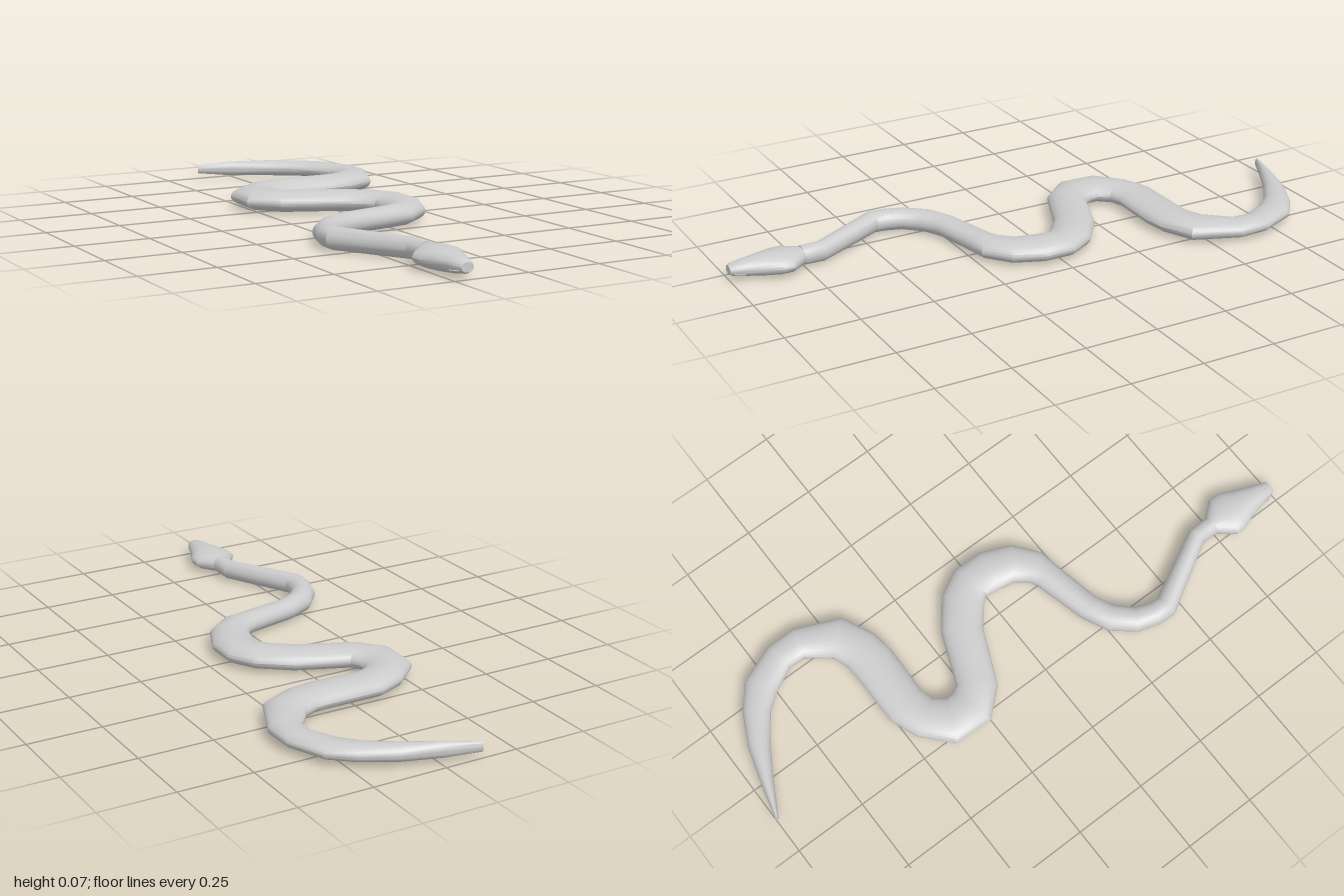
import * as THREE from 'three';
import { toCreasedNormals } from 'three/addons/utils/BufferGeometryUtils.js';

const MID = 0.038;
const SIDES = 24;

// Lofts elliptical sections [x, z, halfWidth, halfHeight] along a flat path.
function loft(rings) {
  const pos = [], index = [], n = rings.length;
  rings.forEach(([x, z, w, h], i) => {
    const dir = (a, b) => new THREE.Vector2(b[0] - a[0], b[1] - a[1]).normalize();
    const t = new THREE.Vector2();
    if (i > 0) t.add(dir(rings[i - 1], rings[i]));
    if (i < n - 1) t.add(dir(rings[i], rings[i + 1]));
    t.normalize();
    for (let j = 0; j < SIDES; j++) {
      const a = (j / SIDES) * Math.PI * 2, c = Math.cos(a) * w;
      pos.push(x + t.y * c, MID + Math.sin(a) * h, z - t.x * c);
    }
  });
  for (let i = 0; i < n - 1; i++) {
    for (let j = 0; j < SIDES; j++) {
      const k = (j + 1) % SIDES, a = i * SIDES + j, b = i * SIDES + k;
      index.push(a, b, a + SIDES, b, b + SIDES, a + SIDES);
    }
  }
  // end caps
  const first = pos.length / 3, last = (n - 1) * SIDES;
  pos.push(rings[0][0], MID, rings[0][1], rings[n - 1][0], MID, rings[n - 1][1]);
  for (let j = 0; j < SIDES; j++) {
    const k = (j + 1) % SIDES;
    index.push(first, k, j, first + 1, last + j, last + k);
  }
  const g = new THREE.BufferGeometry();
  g.setAttribute('position', new THREE.Float32BufferAttribute(pos, 3));
  g.setIndex(index);
  return toCreasedNormals(g, 0.5);
}

export function createModel() {
  const group = new THREE.Group();
  const mat = new THREE.MeshStandardMaterial({ color: 0xcccccc });
  const add = (name, geometry) => {
    const m = new THREE.Mesh(geometry, mat);
    m.name = name;
    group.add(m);
  };

  // tail: flatter, tapering to the tip
  const tail = [
    [-0.13, -0.997, 0.006, 0.016], [-0.02, -0.955, 0.02, 0.026], [0.1, -0.905, 0.036, 0.028],
    [0.2, -0.845, 0.046, 0.028], [0.262, -0.785, 0.056, 0.028], [0.31, -0.68, 0.052, 0.028],
    [0.31, -0.6, 0.055, 0.029],
  ];
  // body: three bends, thinning towards the neck
  const body = [
    [0.245, -0.485, 0.072, 0.036], [0.165, -0.45, 0.072, 0.036], [0.1, -0.443, 0.074, 0.036],
    [-0.08, -0.445, 0.072, 0.036], [-0.15, -0.42, 0.069, 0.036], [-0.21, -0.36, 0.079, 0.036],
    [-0.212, -0.28, 0.079, 0.036], [-0.165, -0.22, 0.068, 0.036], [0.013, -0.145, 0.07, 0.036],
    [0.1, -0.077, 0.072, 0.036], [0.134, -0.02, 0.071, 0.036], [0.13, 0.055, 0.074, 0.036],
    [0.103, 0.135, 0.066, 0.036], [0.045, 0.188, 0.057, 0.036], [0, 0.2, 0.048, 0.036],
    [-0.175, 0.24, 0.043, 0.036], [-0.25, 0.278, 0.045, 0.036], [-0.305, 0.34, 0.042, 0.036],
    [-0.325, 0.4, 0.04, 0.036], [-0.328, 0.445, 0.039, 0.036], [-0.197, 0.685, 0.032, 0.034],
    [-0.197, 0.755, 0.032, 0.032],
  ];
  add('body', loft([...tail, ...body]));

  // wedge-shaped head with a blunt snout
  add('head', loft([
    [-0.197, 0.745, 0.028, 0.026], [-0.197, 0.765, 0.045, 0.03], [-0.197, 0.805, 0.077, 0.034],
    [-0.197, 0.84, 0.077, 0.035], [-0.2, 0.89, 0.056, 0.034], [-0.205, 0.95, 0.037, 0.027],
    [-0.208, 0.99, 0.026, 0.02], [-0.208, 1.0, 0.021, 0.015],
  ]));

  // thin lip line wrapping the snout
  const lip = new THREE.CatmullRomCurve3([
    [-0.241, 0.025, 0.955], [-0.232, 0.028, 0.987], [-0.208, 0.031, 0.998],
    [-0.184, 0.028, 0.987], [-0.172, 0.025, 0.955],
  ].map((p) => new THREE.Vector3(...p)));
  add('mouth', new THREE.TubeGeometry(lip, 20, 0.002, 6));

  return group;
}
